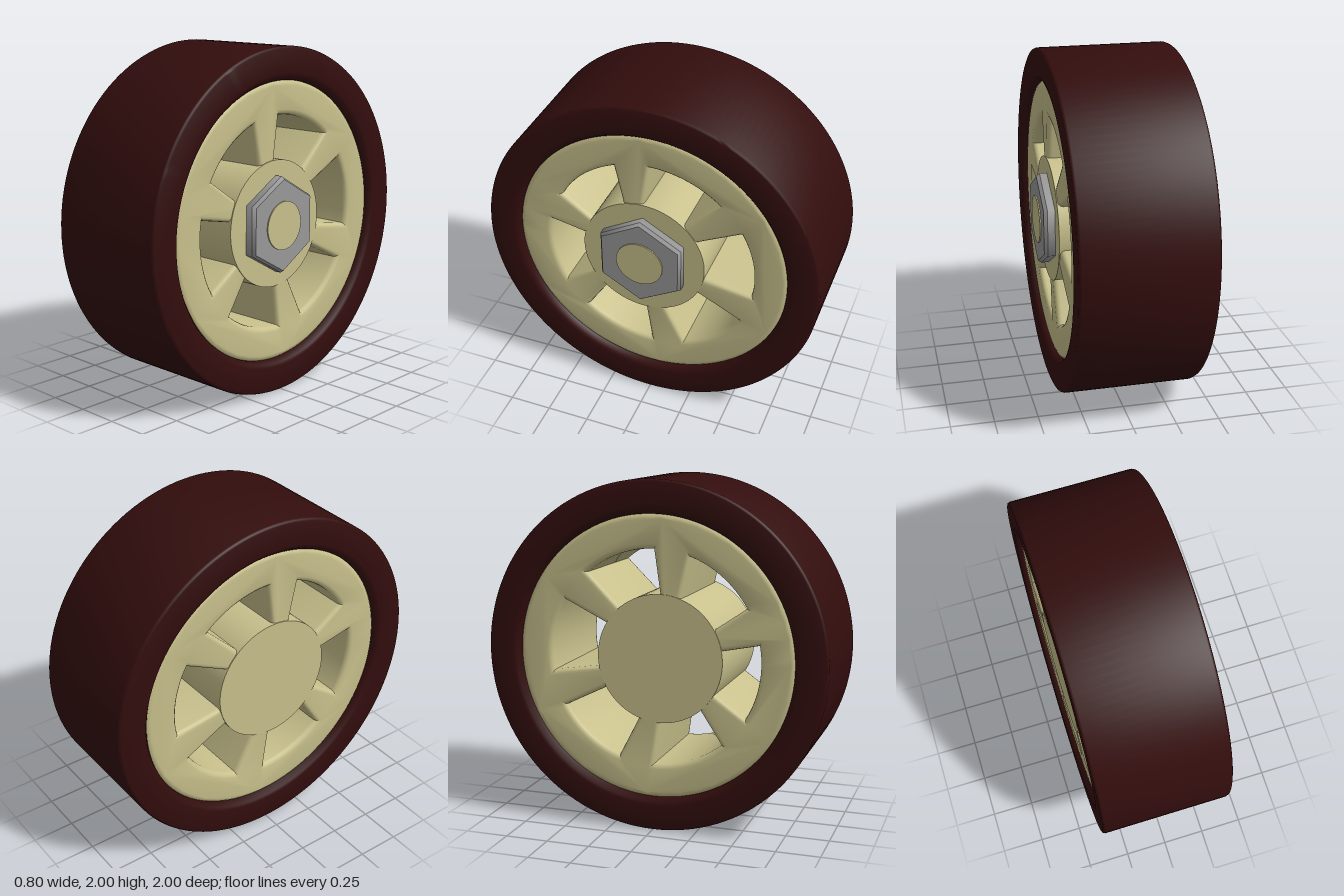
import * as THREE from 'three';
import { toCreasedNormals } from 'three/addons/utils/BufferGeometryUtils.js';

const tan = new THREE.MeshStandardMaterial({ color: 0xc8c08c });
const rubber = new THREE.MeshStandardMaterial({ color: 0x330d0d });
const steel = new THREE.MeshStandardMaterial({ color: 0x999999 });

const HUB_Z = 0.037; // hub, nut and bolt sit slightly off centre

function add(group, name, geometry, material, y = 0, z = 0) {
  const mesh = new THREE.Mesh(geometry, material);
  mesh.name = name;
  mesh.position.set(0, y, z);
  group.add(mesh);
  return mesh;
}

// Solid of revolution around x, from [radius, x] points listed towards +x on the outside
function turned(points, segments = 96) {
  const geometry = new THREE.LatheGeometry(points.map(([r, x]) => new THREE.Vector2(r, x)), segments);
  return toCreasedNormals(geometry.rotateZ(-Math.PI / 2), 0.9);
}

// Disc with six spoke windows, extruded along x
function spokedRim(x0, x1) {
  const bevel = 0.03;
  const shape = new THREE.Shape();
  shape.absarc(0, 0, 0.815, 0, Math.PI * 2, false);
  for (let i = 0; i < 6; i++) {
    const start = Math.PI / 2 - i * Math.PI / 3;
    const end = start - Math.PI * 40 / 180;
    const hole = new THREE.Path();
    hole.absarc(0, 0, 0.615, start, end, true);
    hole.absarc(-HUB_Z, 0, 0.355, end, start, false);
    hole.closePath();
    shape.holes.push(hole);
  }
  const geometry = new THREE.ExtrudeGeometry(shape, {
    depth: x1 - x0 - 2 * bevel, bevelEnabled: true, bevelThickness: bevel,
    bevelSize: bevel, bevelOffset: -bevel, bevelSegments: 3, curveSegments: 48,
  });
  geometry.translate(0, 0, x0 + bevel).rotateY(Math.PI / 2);
  return toCreasedNormals(geometry, 0.6);
}

export function createModel() {
  const wheel = new THREE.Group();
  wheel.name = 'wheel';

  // Tyre: wide band with slightly eased corners
  const a = -0.4, b = 0.355, e = 0.015;
  add(wheel, 'tyre', turned([
    [0.81, a + 0.03], [0.83, a + 0.005], [0.85, a], [1 - e, a], [1 - e * 0.3, a + e * 0.3], [1, a + e],
    [1, b - e], [1 - e * 0.3, b - e * 0.3], [1 - e, b], [0.85, b], [0.83, b - 0.005], [0.81, b - 0.03],
    [0.81, a + 0.03],
  ], 128), rubber, 1);

  add(wheel, 'rim', spokedRim(-0.37, 0.325), tan, 1);

  // Hub passes through the rim
  add(wheel, 'hub', turned([[0, -0.375], [0.367, -0.375], [0.367, 0.33], [0, 0.33]]), tan, 1, HUB_Z);

  // Hexagonal nut, a corner pointing up
  const nut = new THREE.CylinderGeometry(0.265, 0.28, 0.02, 6, 1);
  nut.translate(0, 0.383, 0).rotateZ(-Math.PI / 2);
  const nutBody = new THREE.CylinderGeometry(0.28, 0.28, 0.095, 6, 1, true);
  nutBody.translate(0, 0.3255, 0).rotateZ(-Math.PI / 2);
  // turn the corner from the z axis to the y axis
  for (const g of [nut, nutBody]) g.rotateX(Math.PI / 2);
  add(wheel, 'nutFace', nut, steel, 1, HUB_Z);
  add(wheel, 'nutBody', nutBody, steel, 1, HUB_Z);

  // Bolt end showing through the nut
  add(wheel, 'bolt', turned([[0, 0.3], [0.14, 0.3], [0.14, 0.4], [0, 0.4]], 48), tan, 1, HUB_Z);

  return wheel;
}
